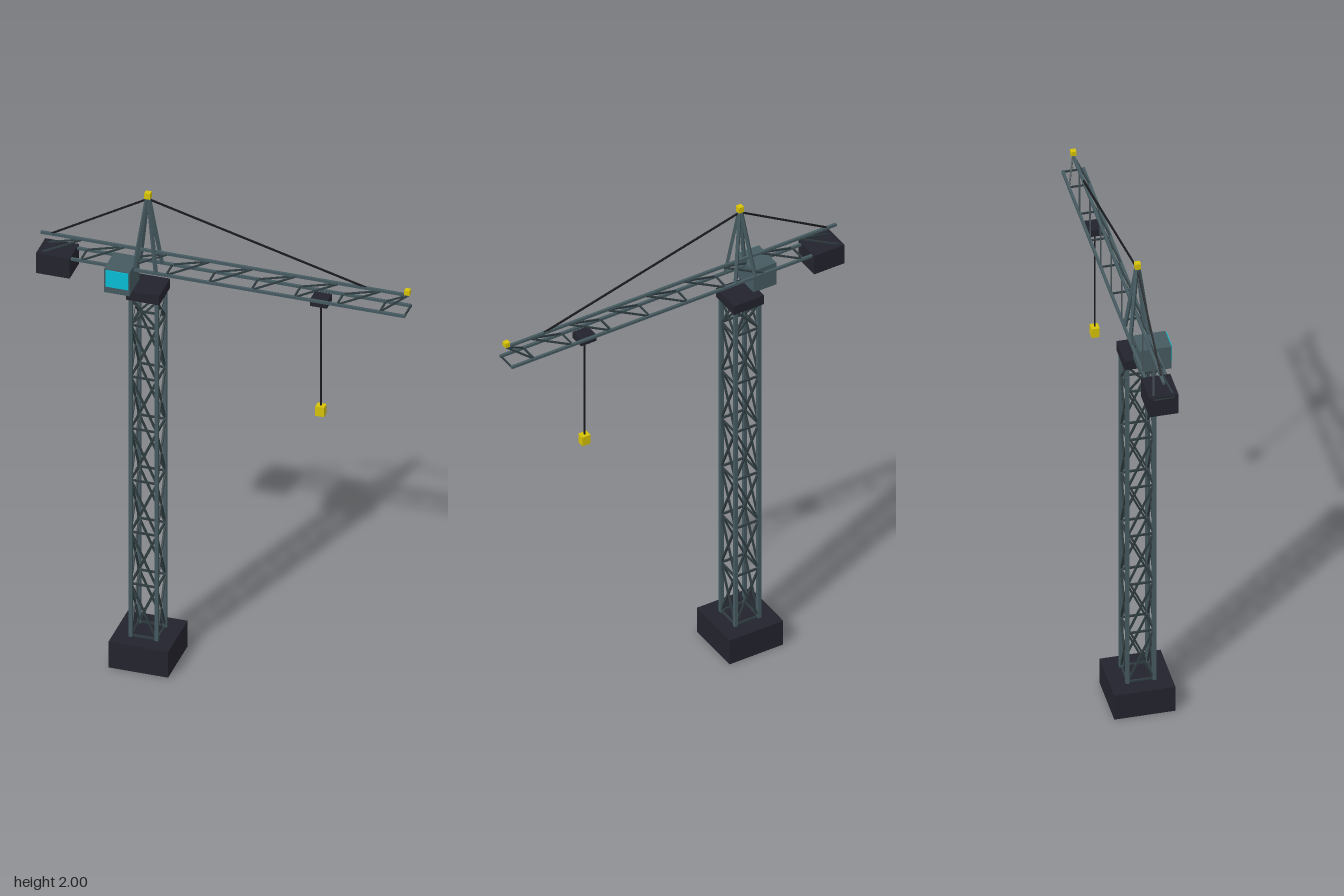
import * as THREE from 'three';

const mat = (name, color) => {
  const m = new THREE.MeshStandardMaterial({ color });
  m.name = name;
  return m;
};

export function createModel() {
  const crane = new THREE.Group();
  crane.name = 'towerCrane';

  const ballast = mat('darkBallast', 0x23232d);
  const steel = mat('steel', 0x455a60);
  const brace = mat('braceSteel', 0x2f3c40);
  const cable = mat('cable', 0x1a1a1e);
  const yellow = mat('yellow', 0xd6c208);
  const glass = mat('glass', 0x08bcd4);

  const group = (name) => {
    const g = new THREE.Group();
    g.name = name;
    crane.add(g);
    return g;
  };
  const box = (parent, name, m, size, pos) => {
    const mesh = new THREE.Mesh(new THREE.BoxGeometry(...size), m);
    mesh.name = name;
    mesh.position.set(...pos);
    parent.add(mesh);
    return mesh;
  };
  // Square bar running from a to b
  const beam = (parent, name, m, a, b, t) => {
    const p = new THREE.Vector3(...a), q = new THREE.Vector3(...b);
    const mesh = new THREE.Mesh(new THREE.BoxGeometry(t, t, p.distanceTo(q)), m);
    mesh.name = name;
    mesh.position.copy(p).add(q).multiplyScalar(0.5);
    mesh.lookAt(q);
    parent.add(mesh);
  };

  const cx = -0.298; // mast axis

  // Foundation and slewing platform
  box(crane, 'foundation', ballast, [0.23, 0.11, 0.23], [cx, 0.055, 0]);
  box(crane, 'slewingPlatform', ballast, [0.128, 0.04, 0.128], [cx, 1.583, 0]);

  // Mast: four legs, ring bars and crossed braces on every side
  const mast = group('mast');
  const r = 0.05;
  const corners = [[r, r], [r, -r], [-r, -r], [-r, r]];
  const levels = [];
  for (let i = 0; i < 7; i++) levels.push(0.115 + i * 0.2225);
  levels.push(1.565);
  corners.forEach(([x, z], i) => {
    const [x2, z2] = corners[(i + 1) % 4];
    box(mast, 'mastLeg', steel, [0.014, 1.46, 0.014], [cx + x, 0.835, z]);
    levels.forEach((y, k) => {
      beam(mast, 'mastRing', brace, [cx + x, y, z], [cx + x2, y, z2], 0.007);
      if (k === levels.length - 1) return;
      const top = levels[k + 1];
      beam(mast, 'mastBrace', brace, [cx + x, y, z], [cx + x2, top, z2], 0.007);
      beam(mast, 'mastBrace', brace, [cx + x2, y, z2], [cx + x, top, z], 0.007);
    });
  });

  // Jib: triangular truss
  const jib = group('jib');
  const x0 = -0.71, x1 = 0.705, low = 1.682, high = 1.75, half = 0.039, step = 0.1645;
  beam(jib, 'topChord', steel, [x0, high, 0], [x1, high, 0], 0.01);
  for (const z of [-half, half]) beam(jib, 'bottomChord', steel, [x0, low, z], [x1, low, z], 0.01);
  for (let x = x0; x < x1; x += step) {
    const next = Math.min(x + step, x1);
    beam(jib, 'jibTie', brace, [x, low, -half], [x, low, half], 0.006);
    for (const z of [-half, half]) beam(jib, 'jibBrace', brace, [x, low, z], [next, high, 0], 0.006);
  }
  beam(jib, 'jibEndTie', brace, [x1 - 0.003, low, -half], [x1 - 0.003, low, half], 0.006);

  // Tower head and stay cables
  const head = group('towerHead');
  for (const sx of [-1, 1]) for (const sz of [-1, 1]) {
    beam(head, 'headLeg', steel, [cx + sx * 0.042, 1.682, sz * 0.037], [cx + sx * 0.003, 1.975, sz * 0.003], 0.012);
  }
  beam(head, 'rearStay', cable, [cx, 1.972, 0], [-0.673, high, 0], 0.006);
  beam(head, 'frontStay', cable, [cx, 1.972, 0], [0.55, high, 0], 0.006);
  box(head, 'headLight', yellow, [0.022, 0.024, 0.022], [cx, 1.988, 0]);
  box(jib, 'tipLight', yellow, [0.02, 0.02, 0.02], [0.702, 1.764, 0]);

  // Counterweight
  box(crane, 'counterweight', ballast, [0.13, 0.085, 0.11], [-0.647, 1.648, 0]);

  // Operator cabin with front window
  const cabin = group('cabin');
  box(cabin, 'cabinBody', steel, [0.098, 0.1, 0.122], [-0.388, 1.65, 0.034]);
  box(cabin, 'cabinWindow', glass, [0.088, 0.07, 0.006], [-0.386, 1.662, 0.096]);

  // Trolley, hoist rope and hook block
  const hoist = group('hoist');
  box(hoist, 'trolley', ballast, [0.065, 0.028, 0.06], [0.368, 1.665, 0]);
  beam(hoist, 'hoistRope', cable, [0.368, 1.655, 0], [0.368, 1.205, 0], 0.005);
  box(hoist, 'hookBlock', yellow, [0.034, 0.04, 0.03], [0.368, 1.192, 0]);

  return crane;
}
